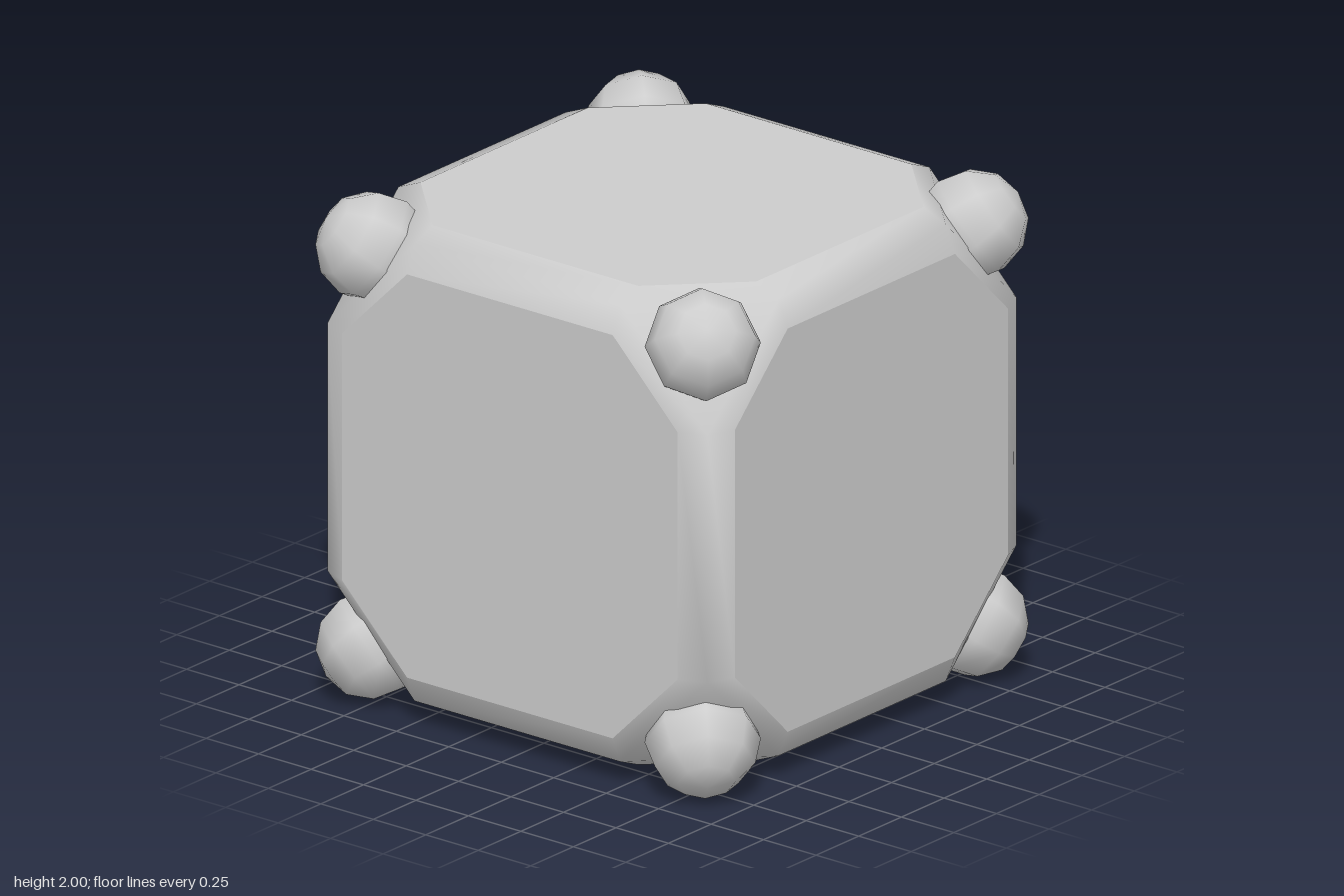
import * as THREE from 'three';
import { mergeVertices } from 'three/addons/utils/BufferGeometryUtils.js';

const OUT = 0.95;   // half size of the cube
const FLAT = 0.8;   // where the flat face ends
const CUT = 0.49;   // where the corner cut begins
const MID = 0.906;  // middle of the rounded edge

// Convex polygons, each turned to face away from the origin
function polygons(list) {
  const pos = [];
  for (const pts of list) {
    const n = new THREE.Vector3().subVectors(pts[1], pts[0])
      .cross(new THREE.Vector3().subVectors(pts[2], pts[0]));
    const p = n.dot(pts[0]) < 0 ? [...pts].reverse() : pts;
    for (let i = 1; i < p.length - 1; i++)
      for (const v of [p[0], p[i], p[i + 1]]) pos.push(v.x, v.y, v.z);
  }
  const g = new THREE.BufferGeometry();
  g.setAttribute('position', new THREE.Float32BufferAttribute(pos, 3));
  const merged = mergeVertices(g, 1e-4);
  merged.computeVertexNormals();
  return merged;
}

// Point given on three axes, starting at axis k and going round
function on(k, a, b, c) {
  const v = new THREE.Vector3();
  v.setComponent(k, a);
  v.setComponent((k + 1) % 3, b);
  v.setComponent((k + 2) % 3, c);
  return v;
}

export function createModel() {
  const model = new THREE.Group();
  const grey = new THREE.MeshStandardMaterial({ color: 0xcccccc });
  grey.name = 'grey';
  const add = (geometry, name) => {
    const mesh = new THREE.Mesh(geometry, grey);
    mesh.name = name;
    model.add(mesh);
    return mesh;
  };
  const signs = [-1, 1];
  const bevels = [];

  for (let k = 0; k < 3; k++) {
    // Flat eight-sided faces
    for (const s of signs) {
      const ring = [[CUT, FLAT], [-CUT, FLAT], [-FLAT, CUT], [-FLAT, -CUT],
        [-CUT, -FLAT], [CUT, -FLAT], [FLAT, -CUT], [FLAT, CUT]];
      add(polygons([ring.map(([b, c]) => on(k, s * OUT, b, c))]), 'flatFace');
    }
    // Rounded edges, two facets each
    for (const s of signs) for (const t of signs) {
      const profile = [[OUT, FLAT], [MID, MID], [FLAT, OUT]];
      for (let i = 0; i < 2; i++) {
        const [p, q] = [profile[i], profile[i + 1]];
        bevels.push([on(k, -CUT, s * p[0], t * p[1]), on(k, CUT, s * p[0], t * p[1]),
          on(k, CUT, s * q[0], t * q[1]), on(k, -CUT, s * q[0], t * q[1])]);
      }
    }
  }

  for (const x of signs) for (const y of signs) for (const z of signs) {
    const corner = new THREE.Vector3(x, y, z);
    // Cut corners, one trapezoid towards each face and a triangle between
    for (let k = 0; k < 3; k++) {
      bevels.push([on(k, OUT, CUT, FLAT), on(k, OUT, FLAT, CUT),
        on(k, MID, MID, CUT), on(k, MID, CUT, MID)].map(v => v.multiply(corner)));
    }
    bevels.push([0, 1, 2].map(k => on(k, CUT, MID, MID).multiply(corner)));

    // Corner balls with the pole pointing outwards
    const ball = add(new THREE.SphereGeometry(0.216, 8, 6), 'cornerBall');
    const axis = corner.clone().normalize();
    const side = new THREE.Vector3(0, 1, 0).addScaledVector(axis, -axis.y).normalize();
    ball.quaternion.setFromRotationMatrix(
      new THREE.Matrix4().makeBasis(side, axis, side.clone().cross(axis)));
    ball.position.copy(corner).multiplyScalar(0.785);
  }
  add(polygons(bevels), 'roundedEdges');

  model.children.forEach(m => { m.position.y += 1; });
  return model;
}
